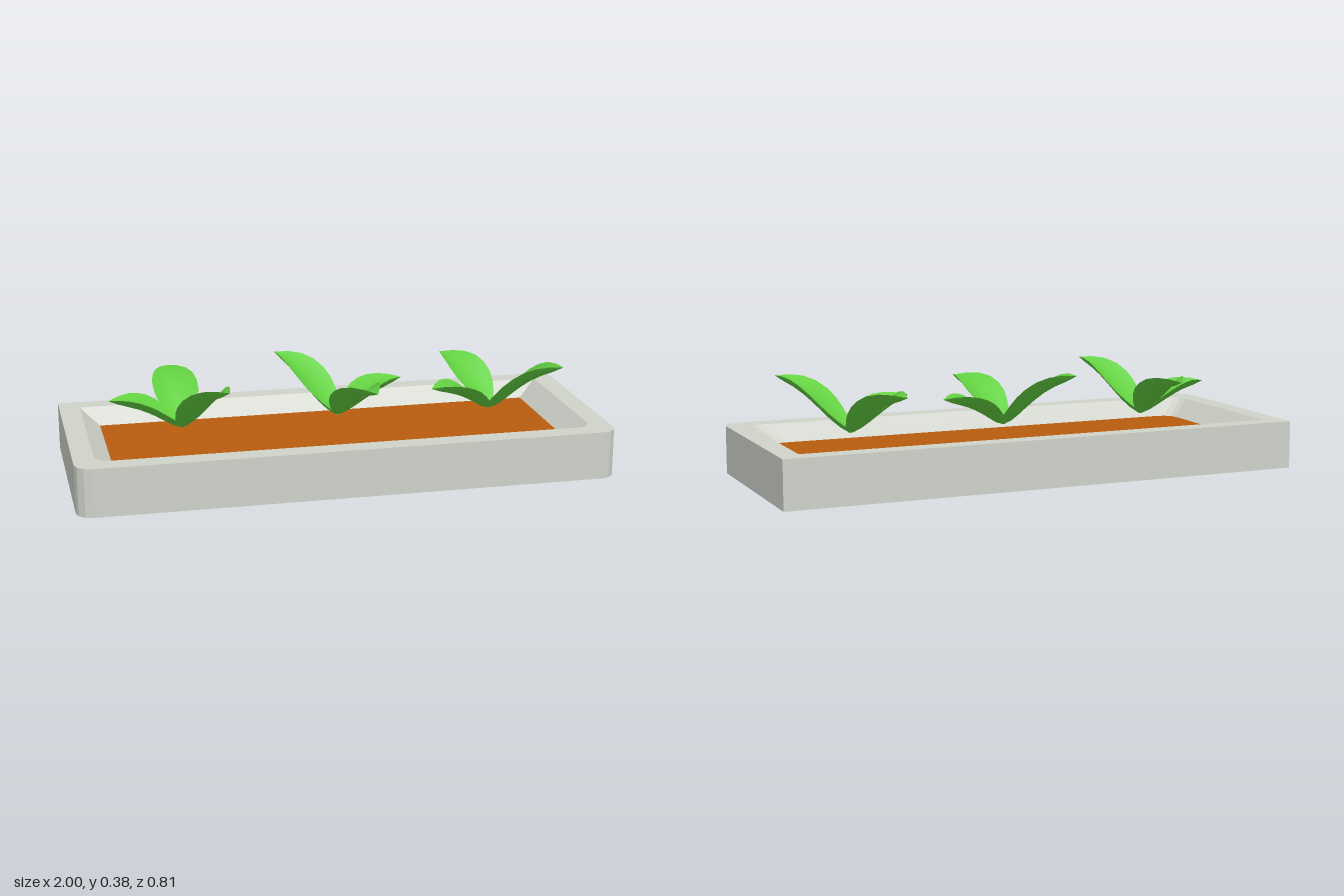
import * as THREE from 'three';

const stone = new THREE.MeshStandardMaterial({ color: 0xd0d3ca, side: THREE.DoubleSide });
stone.name = 'pale stone';
const earth = new THREE.MeshStandardMaterial({ color: 0xb85c0e, side: THREE.DoubleSide });
earth.name = 'orange earth';
const green = new THREE.MeshStandardMaterial({ color: 0x62d040, side: THREE.DoubleSide });
green.name = 'leaf green';

// Rectangle loop with square back corners and rounded front corners, as [x, z]
function outline(hx, back, front, r) {
  const loop = [[-hx, back], [hx, back]];
  for (const side of [1, -1]) {
    for (let k = 0; k <= 3; k++) {
      const a = ((side > 0 ? k : 3 - k) / 3) * Math.PI / 2;
      loop.push([side * (hx - r + r * Math.cos(a)), front - r + r * Math.sin(a)]);
    }
  }
  return loop;
}

// Flat-sided band joining two loops at two heights
function band(loopA, yA, loopB, yB) {
  const pos = [];
  const n = loopA.length;
  const put = (loop, k, y) => pos.push(loop[k % n][0], y, loop[k % n][1]);
  for (let k = 0; k < n; k++) {
    put(loopA, k, yA); put(loopB, k, yB); put(loopA, k + 1, yA);
    put(loopB, k, yB); put(loopB, k + 1, yB); put(loopA, k + 1, yA);
  }
  const g = new THREE.BufferGeometry();
  g.setAttribute('position', new THREE.Float32BufferAttribute(pos, 3));
  g.computeVertexNormals();
  return g;
}

// Cupped leaf growing along +x; stations are [reach, height, half width]
function leafGeometry(stations) {
  const spine = new THREE.CatmullRomCurve3(stations.map((s) => new THREE.Vector3(...s)));
  const rows = 9, cols = 5, thick = 0.016;
  const pos = [], index = [];
  for (const face of [0, 1]) {
    const start = pos.length / 3;
    for (let i = 0; i < rows; i++) {
      const p = spine.getPoint(i / (rows - 1));
      const w = Math.max(p.z, 0);
      for (let j = 0; j < cols; j++) {
        const s = (j / (cols - 1)) * 2 - 1;
        const y = p.y + 0.4 * w * s * s + face * -thick * (1 - s * s) * Math.min(1, w / 0.04);
        pos.push(p.x, Math.max(y, 0), w * s);
      }
    }
    for (let i = 0; i < rows - 1; i++) {
      for (let j = 0; j < cols - 1; j++) {
        const a = start + i * cols + j, b = a + 1, c = a + cols, d = c + 1;
        if (face) index.push(a, c, b, b, c, d);
        else index.push(a, b, c, b, d, c);
      }
    }
  }
  const g = new THREE.BufferGeometry();
  g.setAttribute('position', new THREE.Float32BufferAttribute(pos, 3));
  g.setIndex(index);
  g.computeVertexNormals();
  return g;
}

export function createModel() {
  const model = new THREE.Group();
  model.name = 'planterBox';
  const add = (parent, name, geometry, material) => {
    const m = new THREE.Mesh(geometry, material);
    m.name = name;
    parent.add(m);
    return m;
  };

  // Open-bottomed trough: outer wall, flat rim and sloping inner wall
  const top = 0.18, bed = 0.115;
  const outer = outline(1, -0.405, 0.405, 0.06);
  const rim = outline(0.922, -0.333, 0.327, 0.055);
  const inner = outline(0.85, -0.29, 0.27, 0.055);
  const trough = new THREE.Group();
  trough.name = 'trough';
  model.add(trough);
  add(trough, 'outerWall', band(outer, 0, outer, top), stone);
  add(trough, 'rim', band(outer, top, rim, top), stone);
  add(trough, 'innerWall', band(rim, top, inner, bed), stone);

  // Soil bed
  const shape = new THREE.Shape(inner.map(([x, z]) => new THREE.Vector2(x, -z)));
  const soil = add(model, 'soil', new THREE.ShapeGeometry(shape).rotateX(-Math.PI / 2), earth);
  soil.position.y = bed;

  // Three leaf kinds: [turn in degrees, geometry]
  const leaves = [
    ['tallLeaf', 0, leafGeometry([[0, 0.008, 0.025], [0.05, 0.045, 0.066], [0.1, 0.09, 0.085],
      [0.16, 0.14, 0.08], [0.23, 0.18, 0.05], [0.3, 0.2, 0]])],
    ['lowLeaf', 120, leafGeometry([[0, 0.008, 0.025], [0.05, 0.036, 0.06], [0.1, 0.066, 0.08],
      [0.15, 0.09, 0.074], [0.21, 0.109, 0.045], [0.27, 0.116, 0]])],
    ['middleLeaf', 205, leafGeometry([[0, 0.008, 0.025], [0.05, 0.046, 0.066], [0.1, 0.085, 0.085],
      [0.16, 0.125, 0.08], [0.23, 0.15, 0.05], [0.3, 0.158, 0]])],
  ];

  // Three sprouts, the same plant turned: [x, z, turn in degrees]
  for (const [x, z, turn] of [[-0.57, 0, 62], [0.03, -0.03, 228], [0.62, 0.01, 41]]) {
    const sprout = new THREE.Group();
    sprout.name = 'sprout';
    sprout.position.set(x, top, z);
    for (const [name, angle, geometry] of leaves) {
      add(sprout, name, geometry, green).rotation.y = -THREE.MathUtils.degToRad(turn + angle);
    }
    model.add(sprout);
  }
  return model;
}
